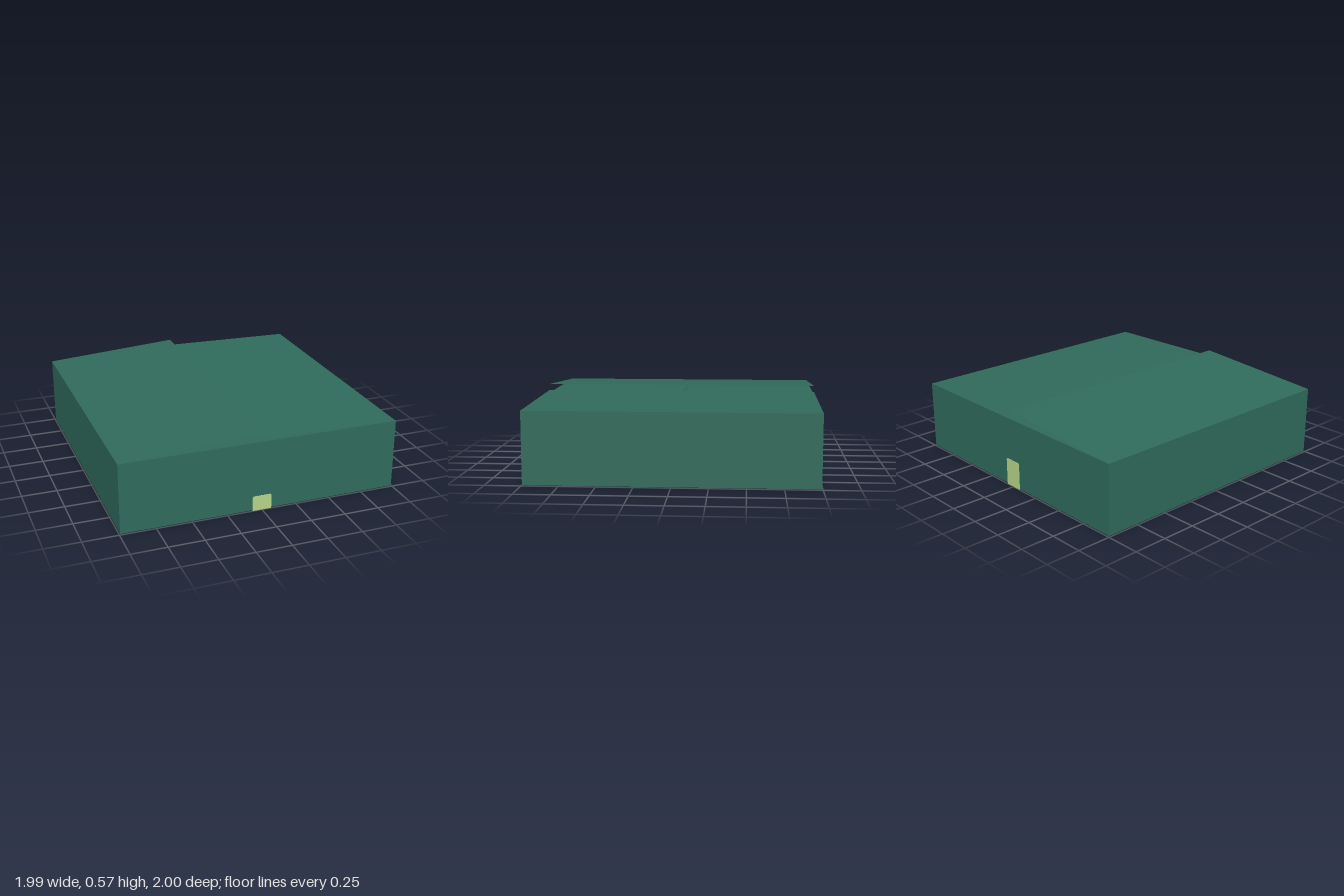
import * as THREE from 'three';

const W = 0.994;    // half width and half depth of the carton
const TOP = 0.505;  // height of the wall rim
const BASE = 0.004; // carton floor, resting on the tape

const card = new THREE.MeshStandardMaterial({ color: 0x2f6a5b, side: THREE.DoubleSide });
card.name = 'green card';
const tapeMat = new THREE.MeshStandardMaterial({ color: 0xb5d488, side: THREE.DoubleSide });
tapeMat.name = 'pale tape';

// Thin sheet through four corners, counter-clockwise seen from outside
function panel(name, a, b, c, d) {
  const geo = new THREE.BufferGeometry();
  geo.setAttribute('position', new THREE.Float32BufferAttribute([...a, ...b, ...c, ...a, ...c, ...d], 3));
  geo.computeVertexNormals();
  const mesh = new THREE.Mesh(geo, card);
  mesh.name = name;
  return mesh;
}

// Strip of tape running up a wall, with a serrated torn end
function tapeEnd(name, height) {
  const half = 0.068, teeth = 9;
  const shape = new THREE.Shape();
  shape.moveTo(-half, 0);
  shape.lineTo(half, 0);
  shape.lineTo(half, height - 0.012);
  for (let i = 0; i <= teeth * 2; i++) {
    const x = (half - 0.009) * (1 - i / teeth);
    shape.lineTo(x, height - (i % 2 ? 0.004 : 0));
  }
  shape.lineTo(-half, height - 0.012);
  shape.closePath();
  const mesh = new THREE.Mesh(
    new THREE.ExtrudeGeometry(shape, { depth: 0.004, bevelEnabled: false }), tapeMat);
  mesh.name = name;
  return mesh;
}

export function createModel() {
  const model = new THREE.Group();
  model.name = 'carton';

  // Four walls, each the front wall turned by a quarter
  ['frontWall', 'leftWall', 'backWall', 'rightWall'].forEach((name, i) => {
    const wall = panel(name, [-W, BASE, W], [W, BASE, W], [W, TOP, W], [-W, TOP, W]);
    wall.rotation.y = i * Math.PI / 2;
    model.add(wall);
  });

  // Floor
  model.add(panel('floor', [-W, BASE, -W], [W, BASE, -W], [W, BASE, W], [-W, BASE, W]));

  // Inner flaps, sagging slightly toward the middle
  ['frontInnerFlap', 'backInnerFlap'].forEach((name, i) => {
    const e = W - 0.01, dip = TOP - 0.035;
    const flap = panel(name, [-e, TOP, W], [e, TOP, W], [e, dip, 0.015], [-e, dip, 0.015]);
    flap.rotation.y = i * Math.PI;
    model.add(flap);
  });

  // Outer flaps, sprung open by different amounts
  model.add(panel('rightOuterFlap', [-W, TOP, W], [0, 0.57, W], [0, 0.57, -W], [-W, TOP, -W]));
  model.add(panel('leftOuterFlap', [0.015, 0.525, W], [W, TOP, W], [W, TOP, -W], [0.015, 0.525, -W]));

  // Tape along the floor seam and up both ends
  const strip = new THREE.Mesh(new THREE.BoxGeometry(0.136, 0.003, 2 * W + 0.008), tapeMat);
  strip.name = 'floorTape';
  strip.position.y = 0.0015;
  model.add(strip);

  const front = tapeEnd('frontTape', 0.11);
  front.position.z = W + 0.001;
  const back = tapeEnd('backTape', 0.2);
  back.rotation.y = Math.PI;
  back.position.z = -W - 0.001;
  model.add(front, back);

  return model;
}
